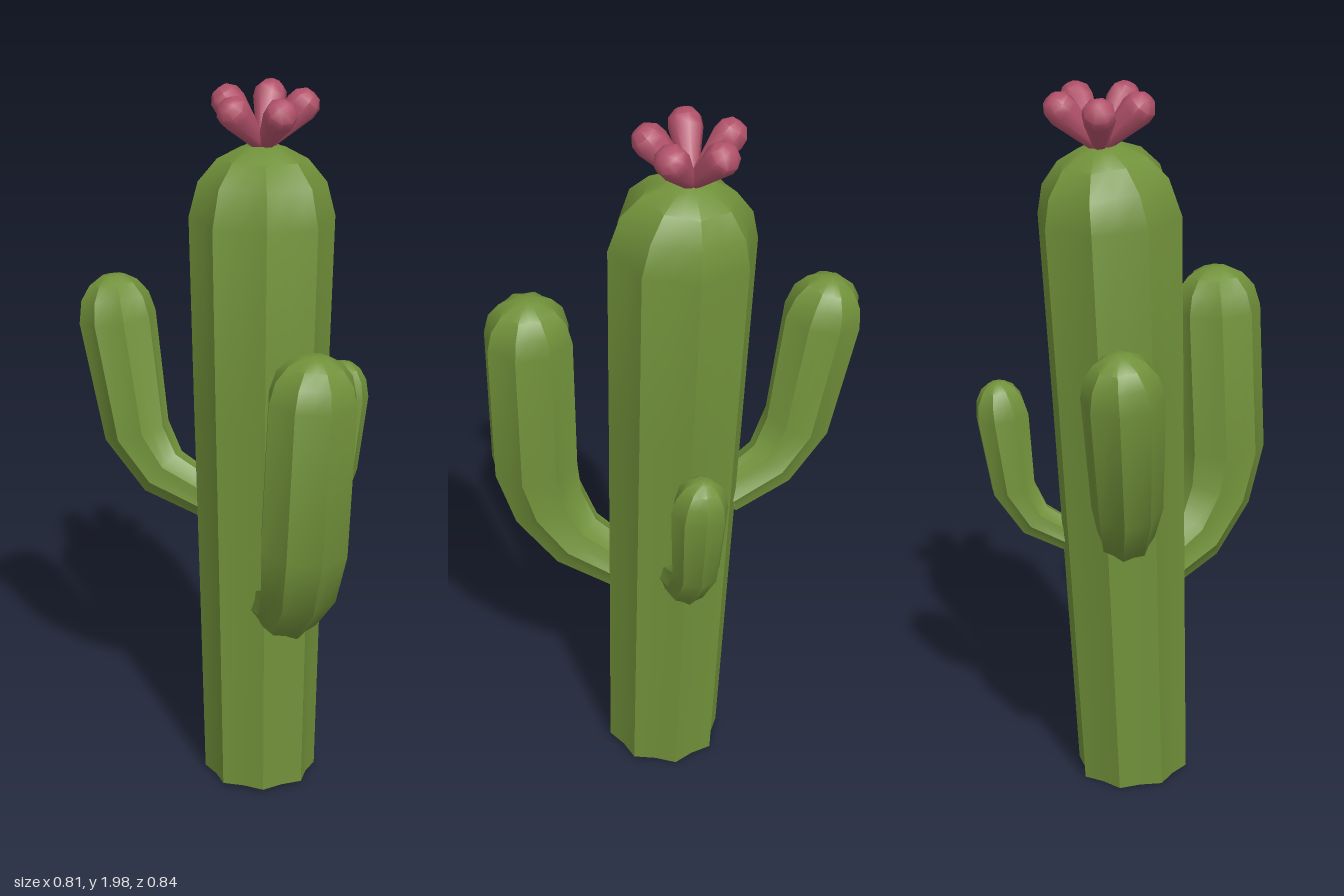
import * as THREE from 'three';
import { toCreasedNormals } from 'three/addons/utils/BufferGeometryUtils.js';

const SIDES = 16; // eight ribs with a groove between each pair
const GROOVE = 0.885;
const UP = new THREE.Vector3(0, 1, 0);

const green = new THREE.MeshStandardMaterial({ color: 0x71913a, side: THREE.DoubleSide });
const pink = new THREE.MeshStandardMaterial({ color: 0xb05068 });

// Dome profile: [fraction of height, fraction of radius]
const DOME = [[0.48, 0.88], [0.8, 0.62], [0.97, 0.3], [1, 0]];

// Ribbed stem swept through rings of [x, y, z, radius], closed by a dome that ends at tip
function ribbedStem(name, rings, tip, phase) {
  const centres = rings.map(([x, y, z]) => new THREE.Vector3(x, y, z));
  const radii = rings.map((r) => r[3]);
  const end = centres[centres.length - 1];
  const apex = new THREE.Vector3(...tip);
  const endRadius = radii[radii.length - 1];
  for (const [h, r] of DOME) {
    centres.push(end.clone().lerp(apex, h));
    radii.push(endRadius * r);
  }

  const positions = [];
  const indices = [];
  centres.forEach((c, k) => {
    const before = centres[Math.max(k - 1, 0)];
    const after = centres[Math.min(k + 1, centres.length - 1)];
    const turn = new THREE.Quaternion().setFromUnitVectors(UP, after.clone().sub(before).normalize());
    for (let i = 0; i < SIDES; i++) {
      const a = phase + (i / SIDES) * Math.PI * 2;
      const r = radii[k] * (i % 2 ? GROOVE : 1);
      const p = new THREE.Vector3(Math.cos(a) * r, 0, Math.sin(a) * r).applyQuaternion(turn).add(c);
      positions.push(p.x, p.y, p.z);
    }
  });
  for (let k = 0; k < centres.length - 1; k++) {
    for (let i = 0; i < SIDES; i++) {
      const a = k * SIDES + i;
      const b = k * SIDES + ((i + 1) % SIDES);
      indices.push(a, a + SIDES, b);
      if (k < centres.length - 2) indices.push(b, a + SIDES, b + SIDES);
    }
  }
  const geometry = new THREE.BufferGeometry();
  geometry.setAttribute('position', new THREE.Float32BufferAttribute(positions, 3));
  geometry.setIndex(indices);
  const mesh = new THREE.Mesh(toCreasedNormals(geometry, 0.68), green);
  mesh.name = name;
  return mesh;
}

// Five blunt petals leaning outward from the crown
function flower() {
  const group = new THREE.Group();
  group.name = 'flower';
  const profile = [[0, 0], [0.016, 0], [0.045, 0.145], [0.042, 0.172], [0.024, 0.193], [0, 0.197]]
    .map(([r, y]) => new THREE.Vector2(r, y));
  const geometry = toCreasedNormals(new THREE.LatheGeometry(profile, 8), 0.85);
  for (let i = 0; i < 5; i++) {
    const a = THREE.MathUtils.degToRad(-4 + i * 72);
    const petal = new THREE.Mesh(geometry, pink);
    petal.name = 'petal';
    const lean = new THREE.Vector3(Math.cos(a) * 0.68, 0.73, Math.sin(a) * 0.68).normalize();
    petal.quaternion.setFromUnitVectors(UP, lean);
    group.add(petal);
  }
  group.position.set(0.09, 1.82, -0.14);
  return group;
}

export function createModel() {
  const model = new THREE.Group();
  model.name = 'cactus';

  // Trunk, open underneath and leaning slightly back
  model.add(ribbedStem('trunk', [
    [0.085, 0, -0.055, 0.157],
    [0.085, 0.55, -0.075, 0.169],
    [0.085, 1.1, -0.095, 0.182],
    [0.087, 1.64, -0.115, 0.195],
  ], [0.09, 1.83, -0.14], 0));

  // Arms, each curving out of the trunk and then upward
  model.add(ribbedStem('frontArm', [
    [0.115, 0.57, 0.05, 0.068],
    [0.145, 0.63, 0.19, 0.088],
    [0.165, 0.74, 0.272, 0.108],
    [0.175, 0.87, 0.305, 0.122],
    [0.193, 1.28, 0.298, 0.122],
  ], [0.2, 1.4, 0.295], 1.25));

  model.add(ribbedStem('backRightArm', [
    [-0.05, 0.8, -0.165, 0.06],
    [-0.18, 0.855, -0.235, 0.076],
    [-0.252, 0.965, -0.275, 0.093],
    [-0.3, 1.29, -0.315, 0.108],
  ], [-0.313, 1.41, -0.335], 3.77));

  model.add(ribbedStem('backLeftArm', [
    [0.21, 0.685, -0.17, 0.043],
    [0.278, 0.735, -0.25, 0.053],
    [0.313, 0.83, -0.297, 0.063],
    [0.33, 1.04, -0.317, 0.075],
  ], [0.335, 1.14, -0.33], -0.79));

  model.add(flower());
  return model;
}
